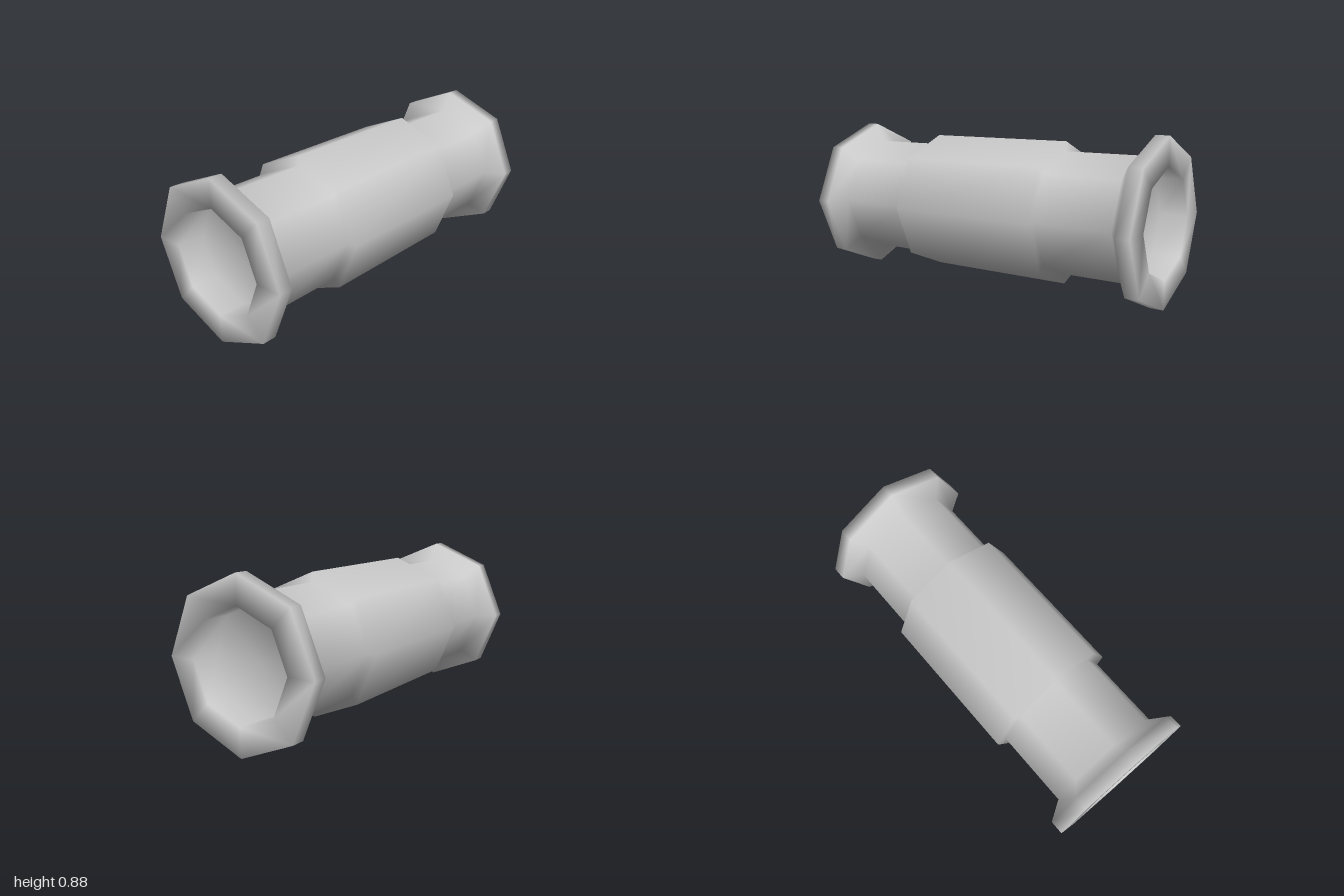
import * as THREE from 'three';

const SIDES = 8;
const RADIUS = 0.44;

// Half profile as [radius, distance along the axis], from the socket floor to the middle
const HALF_PROFILE = [
  [0, 0.85],       // socket floor centre
  [0.288, 0.85],   // socket floor edge
  [0.288, 1],      // socket mouth
  [RADIUS, 1],     // flange face
  [RADIUS, 0.925], // flange rim
  [0.335, 0.86],   // flare down to the pipe
  [0.335, 0.43],   // pipe meets the sleeve
  [0.388, 0.43],   // sleeve shoulder
];

export function createModel() {
  const group = new THREE.Group();
  group.name = 'pipeCoupling';

  // Mirror the half profile so that both ends match
  const points = [
    ...HALF_PROFILE.map(([r, d]) => new THREE.Vector2(r, -d)),
    ...HALF_PROFILE.slice().reverse().map(([r, d]) => new THREE.Vector2(r, d)),
  ];

  // One smooth eight-sided skin, laid along x
  const geometry = new THREE.LatheGeometry(points, SIDES);
  geometry.rotateZ(-Math.PI / 2);
  geometry.translate(0, RADIUS, 0);

  const material = new THREE.MeshStandardMaterial({ color: 0xcccccc });
  const pipe = new THREE.Mesh(geometry, material);
  pipe.name = 'flangedPipeWithSleeve';
  group.add(pipe);
  return group;
}
